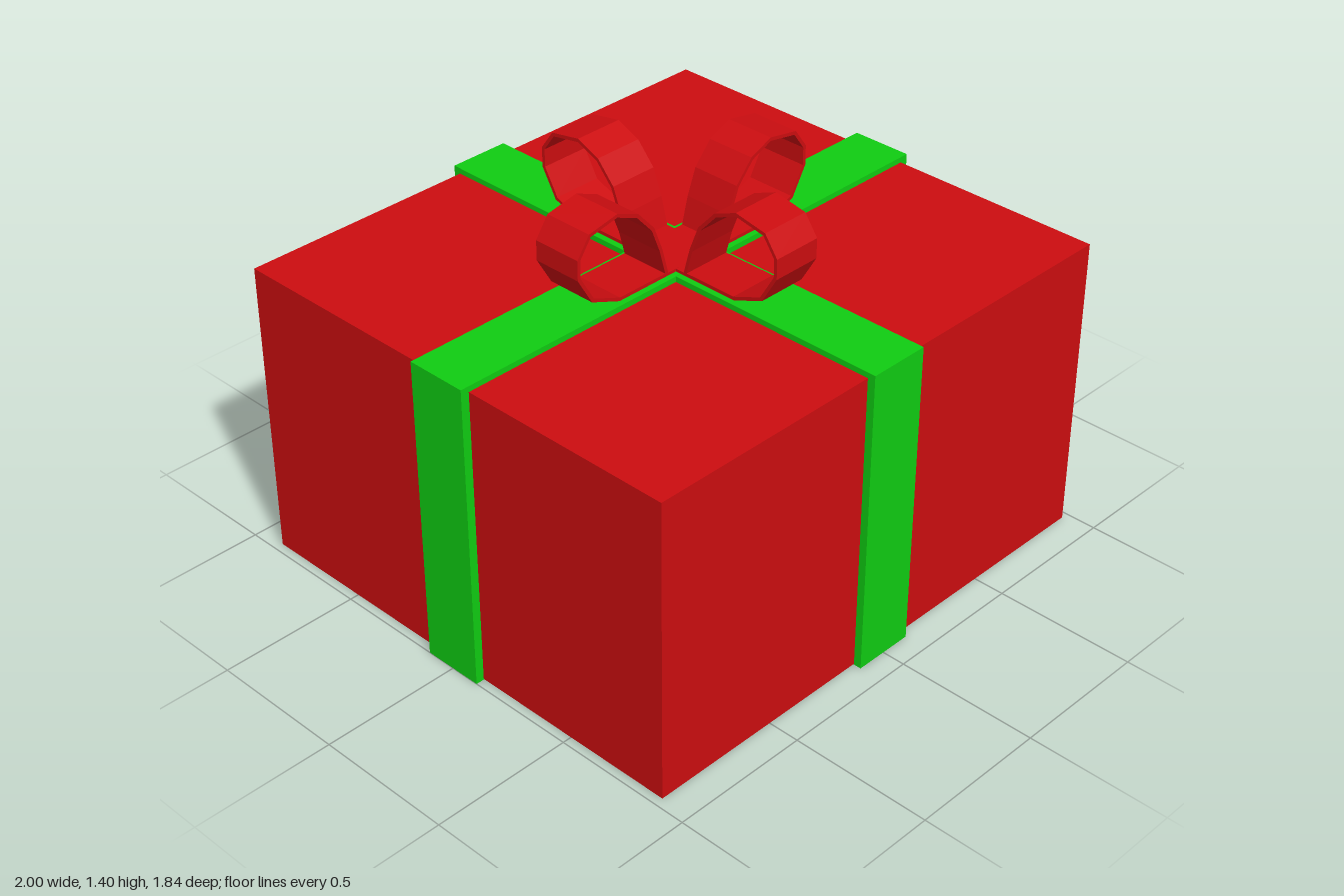
import * as THREE from 'three';

const red = new THREE.MeshStandardMaterial({ color: 0xcc0d10, flatShading: true });
const green = new THREE.MeshStandardMaterial({ color: 0x10cc12, flatShading: true });

// Box given by its full size and the height of its underside
function block(name, w, h, d, y, material) {
  const mesh = new THREE.Mesh(new THREE.BoxGeometry(w, h, d), material);
  mesh.position.y = y + h / 2;
  mesh.name = name;
  return mesh;
}

// Mitred inward offset of a counter-clockwise closed outline
function inset(points, t) {
  return points.map((p, i) => {
    const a = points[(i + points.length - 1) % points.length];
    const b = points[(i + 1) % points.length];
    const u = p.clone().sub(a).normalize();
    const v = b.clone().sub(p).normalize();
    const n1 = new THREE.Vector2(-u.y, u.x);
    const n2 = new THREE.Vector2(-v.y, v.x);
    return n1.clone().add(n2).multiplyScalar(t / (1 + n1.dot(n2))).add(p);
  });
}

export function createModel() {
  const group = new THREE.Group();
  group.name = 'giftBox';

  // Box, just clear of the ribbon on its underside
  group.add(block('box', 1.94, 1.073, 1.78, 0.003, red));

  // Crossing ribbons wrapped around the box
  group.add(block('ribbonAcross', 2, 1.096, 0.22, 0, green));
  group.add(block('ribbonFrontToBack', 0.22, 1.0955, 1.835, 0, green));

  // Bow: four identical hollow loops around a flat centre
  const outline = [
    [0.12, 1.096], [0.335, 1.096], [0.45, 1.142], [0.507, 1.24], [0.507, 1.31],
    [0.457, 1.38], [0.338, 1.402], [0.25, 1.365], [0.183, 1.29], [0.148, 1.2],
  ].map(([x, y]) => new THREE.Vector2(x, y));
  const shape = new THREE.Shape(outline);
  shape.holes.push(new THREE.Path(inset(outline, 0.012)));
  const width = 0.178;
  const loopGeometry = new THREE.ExtrudeGeometry(shape, { depth: width, bevelEnabled: false });
  loopGeometry.translate(0, 0, -width / 2);

  const bow = new THREE.Group();
  bow.name = 'bow';
  ['leftLoop', 'backLoop', 'rightLoop', 'frontLoop'].forEach((name, i) => {
    const loop = new THREE.Mesh(loopGeometry, red);
    loop.rotation.y = i * Math.PI / 2;
    loop.name = name;
    bow.add(loop);
  });
  bow.add(block('bowCentreAcross', 0.25, 0.012, width, 1.094, red));
  bow.add(block('bowCentreFrontToBack', width, 0.0115, 0.25, 1.094, red));
  group.add(bow);

  return group;
}
